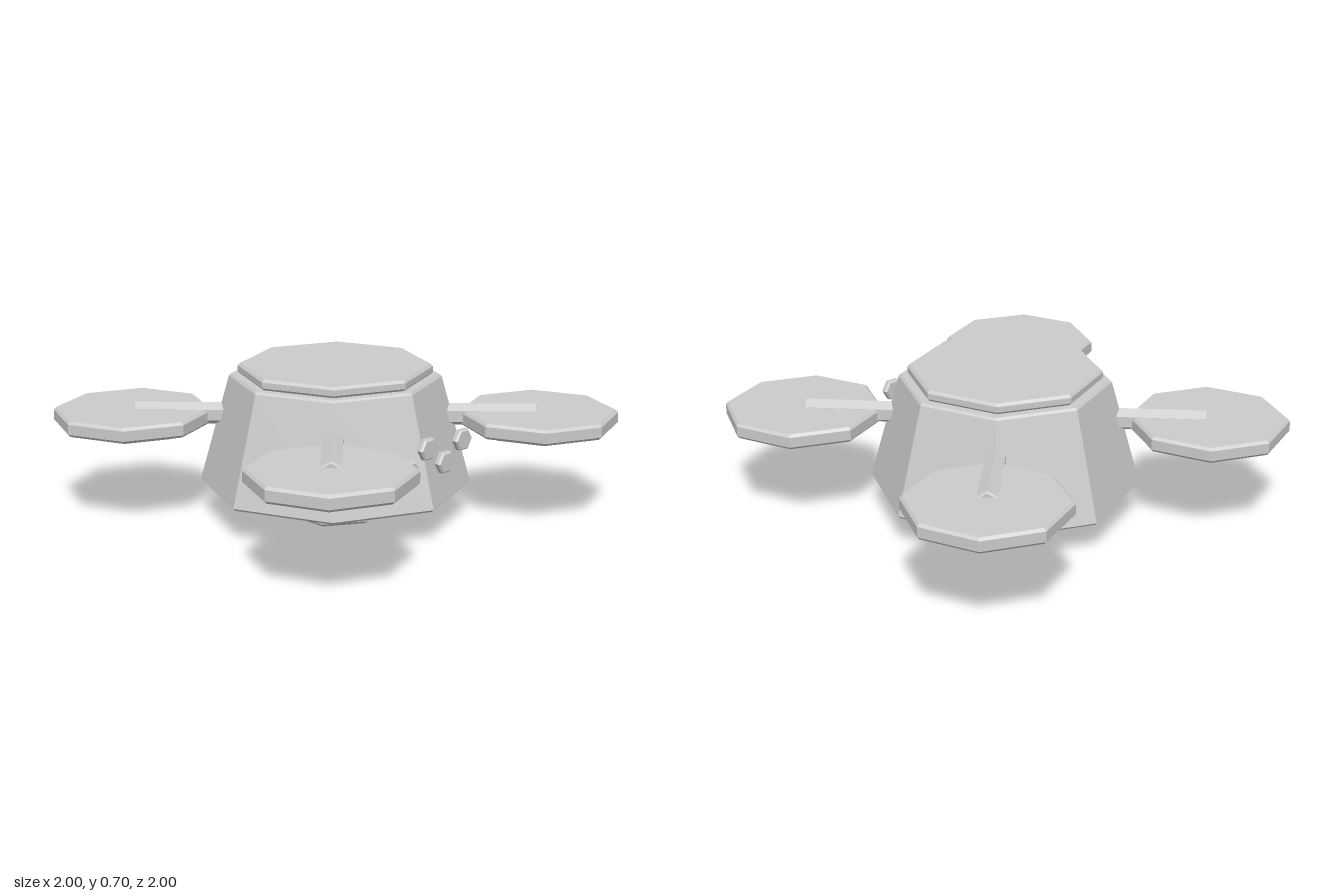
import * as THREE from 'three';

const material = new THREE.MeshStandardMaterial({ color: 0xcccccc, flatShading: true });

// Chamfered n-sided solid standing on y = 0, with a corner facing +z
function prism(name, sides, bottomR, topR, height, bevel) {
  const profile = [
    [0, 0], [bottomR - bevel, 0], [bottomR, bevel],
    [topR, height - bevel], [topR - bevel, height], [0, height],
  ].map(([r, y]) => new THREE.Vector2(r, y));
  const geometry = new THREE.LatheGeometry(profile, sides).toNonIndexed();
  geometry.computeVertexNormals();
  const mesh = new THREE.Mesh(geometry, material);
  mesh.name = name;
  return mesh;
}

export function createModel() {
  const model = new THREE.Group();
  model.name = 'drone';

  // Foot, tapered octagonal body and lid
  const foot = prism('foot', 6, 0.21, 0.21, 0.16, 0.012);
  const body = prism('body', 8, 0.61, 0.475, 0.505, 0.01);
  body.position.y = 0.15;
  const lid = prism('lid', 8, 0.435, 0.435, 0.05, 0.012);
  lid.position.y = 0.653;
  model.add(foot, body, lid);

  // Four diagonal arms, each carrying a rotor disc with a thin plate below
  const armStart = 0.4, armEnd = 0.905;
  for (const sx of [1, -1]) {
    for (const sz of [1, -1]) {
      const unit = new THREE.Group();
      unit.name = `${sz > 0 ? 'front' : 'back'}${sx > 0 ? 'Left' : 'Right'}Rotor`;

      const disc = prism('rotorDisc', 8, 0.357, 0.357, 0.07, 0.012);
      disc.position.set(sx * 0.643, 0.425, sz * 0.643);
      const plate = prism('rotorPlate', 8, 0.28, 0.28, 0.01, 0.002);
      plate.position.set(sx * 0.643, 0.405, sz * 0.643);

      // Six-sided arm laid along the diagonal with a ridge on top
      const arm = prism('arm', 6, 0.05, 0.05, armEnd - armStart, 0.008);
      const pivot = new THREE.Group();
      arm.rotation.x = Math.PI / 2;
      arm.position.z = armStart;
      pivot.add(arm);
      pivot.position.y = 0.471;
      pivot.rotation.y = Math.atan2(sx, sz);

      unit.add(disc, plate, pivot);
      model.add(unit);
    }
  }

  // Staggered row of hexagonal buttons on the front
  [-0.165, -0.055, 0.055, 0.162].forEach((x, i) => {
    const button = prism('button', 6, 0.052, 0.052, 0.035, 0.008);
    button.geometry.rotateY(Math.PI / 6).rotateX(Math.PI / 2);
    button.position.set(x, i % 2 ? 0.448 : 0.368, 0.601);
    model.add(button);
  });

  return model;
}
